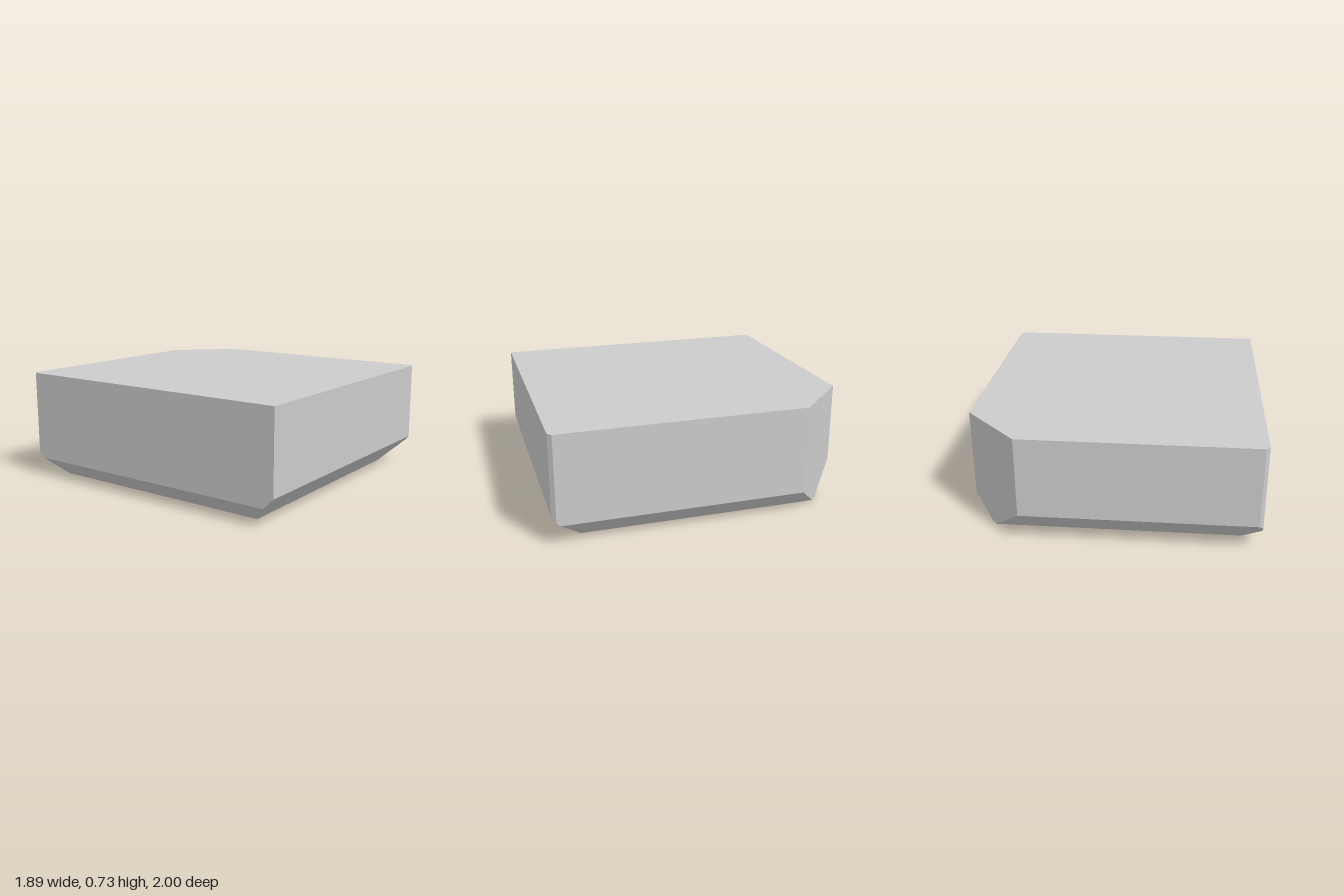
import * as THREE from 'three';
import { ConvexGeometry } from 'three/addons/geometries/ConvexGeometry.js';

const HEIGHT = 0.725;

// Flat underside, inset by the 45 degree bevels: [x, z]
const base = [[-0.825, 0.81], [0.805, 0.81], [0.805, -0.78], [0.775, -0.81], [-0.825, -0.81]];

// Full outline: one large cut corner, two tiny ones: [x, z, y where its vertical edge starts]
const outline = [
  [-0.945, 1, 0.19],
  [0.92, 1, 0.19], [0.945, 0.975, 0.165],
  [0.945, -0.64, 0.14], [0.585, -1, 0.19],
  [-0.92, -1, 0.19], [-0.945, -0.975, 0.165],
];

// Corners where the side bevels run into the front and back bevels: [x, y, z]
const bevelCorners = [[-0.945, 0.12, 0.93], [0.945, 0.14, 0.95], [-0.945, 0.12, -0.93]];

export function createModel() {
  const points = [
    ...base.map(([x, z]) => new THREE.Vector3(x, 0, z)),
    ...bevelCorners.map((p) => new THREE.Vector3(...p)),
  ];
  for (const [x, z, y] of outline) {
    points.push(new THREE.Vector3(x, y, z), new THREE.Vector3(x, HEIGHT, z));
  }

  // Solid bevelled block
  const block = new THREE.Mesh(
    new ConvexGeometry(points),
    new THREE.MeshStandardMaterial({ color: 0xcccccc, flatShading: true }),
  );
  block.name = 'bevelledBlock';

  const model = new THREE.Group();
  model.name = 'stoneBlock';
  model.add(block);
  return model;
}
